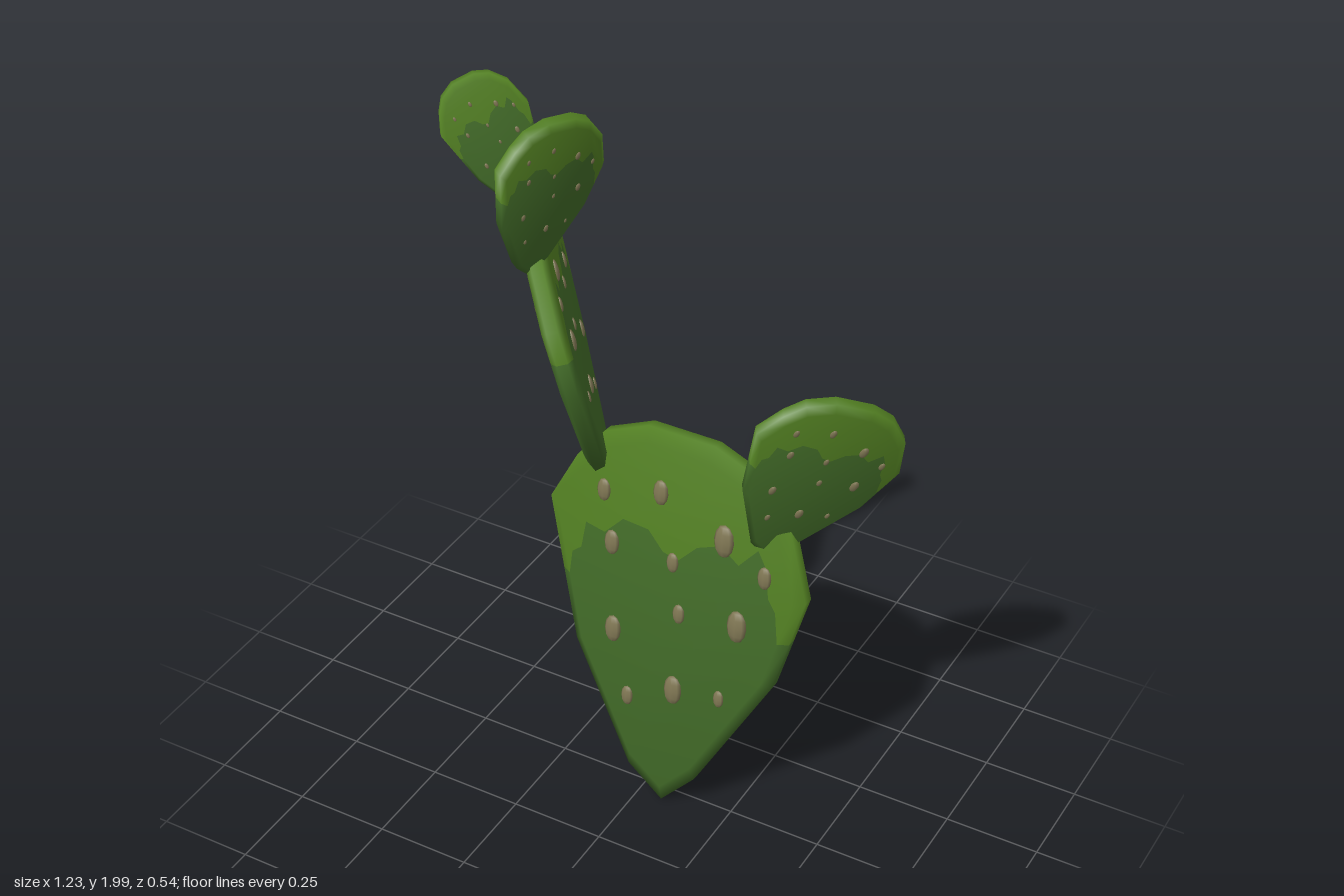
import * as THREE from 'three';

const mat = (name, color) => {
  const m = new THREE.MeshStandardMaterial({ color });
  m.name = name;
  return m;
};

// Pad outline, counter-clockwise from the base: x in widths, y in heights.
// Points 3 and 12 are where the light and dark greens meet on the rim.
const OUTLINE = [
  [0, 0], [0.125, 0.09], [0.4, 0.42], [0.452, 0.55], [0.5, 0.67], [0.42, 0.85], [0.28, 0.95], [0.125, 0.99],
  [-0.13, 0.99], [-0.3, 0.94], [-0.4, 0.86], [-0.5, 0.73], [-0.4375, 0.55], [-0.375, 0.37], [-0.14, 0.07],
];
const R = 3, L = 12;
// Wavy line between the two greens, left to right
const BORDER = [
  [-0.395, 0.61], [-0.36, 0.63], [-0.345, 0.7], [-0.27, 0.69], [-0.2, 0.74], [-0.1, 0.735], [-0.04, 0.69], [0.02, 0.68],
  [0.09, 0.73], [0.18, 0.755], [0.25, 0.72], [0.32, 0.775], [0.35, 0.74], [0.37, 0.66], [0.4, 0.63],
];
// Spine cushions: x, y, size
const SPOTS = [
  [-0.28, 0.8, 0.9], [-0.06, 0.84, 1], [0.19, 0.77, 1.3], [0.35, 0.71, 0.9], [-0.24, 0.67, 1], [0, 0.67, 0.8],
  [0.035, 0.54, 0.8], [0.26, 0.56, 1.3], [-0.22, 0.44, 1.1], [0.03, 0.33, 1.2], [0.21, 0.35, 0.7], [-0.15, 0.27, 0.8],
];
const INNER = OUTLINE.map(([x, y]) => [x * 0.92, 0.55 + (y - 0.55) * 0.92]);

// Collects triangles with their own smooth normals
class Surface {
  constructor() { this.p = []; this.n = []; }
  tri(...verts) {
    for (const v of verts) { this.p.push(...v.pos); this.n.push(...v.nor); }
  }
  mesh(name, material) {
    const g = new THREE.BufferGeometry();
    g.setAttribute('position', new THREE.Float32BufferAttribute(this.p, 3));
    g.setAttribute('normal', new THREE.Float32BufferAttribute(this.n, 3));
    const m = new THREE.Mesh(g, material);
    m.name = name;
    return m;
  }
}

function makePad(name, { base, tip, across, width, thick, spotSize }, mats) {
  const group = new THREE.Group();
  group.name = name;
  const b = new THREE.Vector3(...base);
  const up = new THREE.Vector3(...tip).sub(b);
  const height = up.length();
  up.normalize();
  const side = new THREE.Vector3(...across);
  side.addScaledVector(up, -side.dot(up)).normalize();
  const out = new THREE.Vector3().crossVectors(side, up);
  group.applyMatrix4(new THREE.Matrix4().makeBasis(side, up, out).setPosition(b));

  const h = thick / 2;
  const light = new Surface(), dark = new Surface();
  const faceVert = ([x, y], s) => ({
    pos: [x * width, y * height, s * h],
    nor: new THREE.Vector3(x * 0.6, (y - 0.55) * 0.4, s).normalize().toArray(),
  });
  const rimVert = ([x, y], s) => {
    const d = new THREE.Vector3(x * width, (y - 0.5) * height, 0).normalize();
    d.z = s * 0.4;
    return { pos: [x * width, y * height, s * h * 0.5], nor: d.normalize().toArray() };
  };

  // Rounded rim: front bevel, edge, back bevel
  const rings = [
    INNER.map((p) => faceVert(p, 1)), OUTLINE.map((p) => rimVert(p, 1)),
    OUTLINE.map((p) => rimVert(p, -1)), INNER.map((p) => faceVert(p, -1)),
  ];
  for (let k = 0; k < 3; k++) {
    for (let i = 0; i < OUTLINE.length; i++) {
      const j = (i + 1) % OUTLINE.length;
      const s = i >= R && i < L ? light : dark;
      const a = rings[k], c = rings[k + 1];
      s.tri(a[i], c[i], c[j]);
      s.tri(a[i], c[j], a[j]);
    }
  }

  // Front and back faces, split along the wavy line
  const fill = (surface, pts) => {
    const v = pts.map((p) => new THREE.Vector2(...p));
    for (const f of THREE.ShapeUtils.triangulateShape(v, [])) {
      let [i, j, k] = f;
      if (THREE.ShapeUtils.area([v[i], v[j], v[k]]) < 0) [j, k] = [k, j];
      surface.tri(faceVert(pts[i], 1), faceVert(pts[j], 1), faceVert(pts[k], 1));
      surface.tri(faceVert(pts[i], -1), faceVert(pts[k], -1), faceVert(pts[j], -1));
    }
  };
  fill(light, [...INNER.slice(R, L + 1), ...BORDER]);
  fill(dark, [...INNER.slice(L), ...INNER.slice(0, R + 1), ...[...BORDER].reverse()]);
  group.add(light.mesh('padTop', mats.light), dark.mesh('padLower', mats.dark));

  // Small raised spine cushions on both faces
  const bump = new THREE.SphereGeometry(1, 8, 6);
  for (const s of [1, -1]) {
    for (const [x, y, size] of SPOTS) {
      const m = new THREE.Mesh(bump, mats.spot);
      m.name = 'spineCushion';
      const r = spotSize * size;
      m.scale.set(r, r * 1.7, r * 0.5);
      m.position.set(x * width, y * height, s * h);
      group.add(m);
    }
  }
  return group;
}

export function createModel() {
  const mats = {
    light: mat('light green', 0x527f22),
    dark: mat('dark green', 0x426b28),
    spot: mat('spine brown', 0x7f7653),
  };
  const pads = {
    trunkPad: { base: [0.07, 0.01, 0.034], tip: [0.07, 1.11, -0.07], across: [1, 0, 0], width: 0.72, thick: 0.06, spotSize: 0.021 },
    rightArmPad: { base: [-0.155, 0.9, -0.06], tip: [-0.35, 1.68, -0.045], across: [0.29, 0, 0.455], width: 0.53, thick: 0.055, spotSize: 0.013 },
    leftArmPad: { base: [0.3, 0.84, -0.05], tip: [0.53, 1.36, -0.04], across: [0.285, -0.125, -0.22], width: 0.375, thick: 0.05, spotSize: 0.008 },
    outerTopPad: { base: [-0.41, 1.52, -0.18], tip: [-0.56, 1.88, -0.11], across: [0.165, 0, -0.14], width: 0.22, thick: 0.045, spotSize: 0.004 },
    innerTopPad: { base: [-0.25, 1.56, 0.12], tip: [-0.14, 2.0, 0.135], across: [0.13, 0, -0.25], width: 0.28, thick: 0.05, spotSize: 0.005 },
  };
  const model = new THREE.Group();
  model.name = 'pricklyPearCactus';
  for (const [name, spec] of Object.entries(pads)) model.add(makePad(name, spec, mats));
  return model;
}
